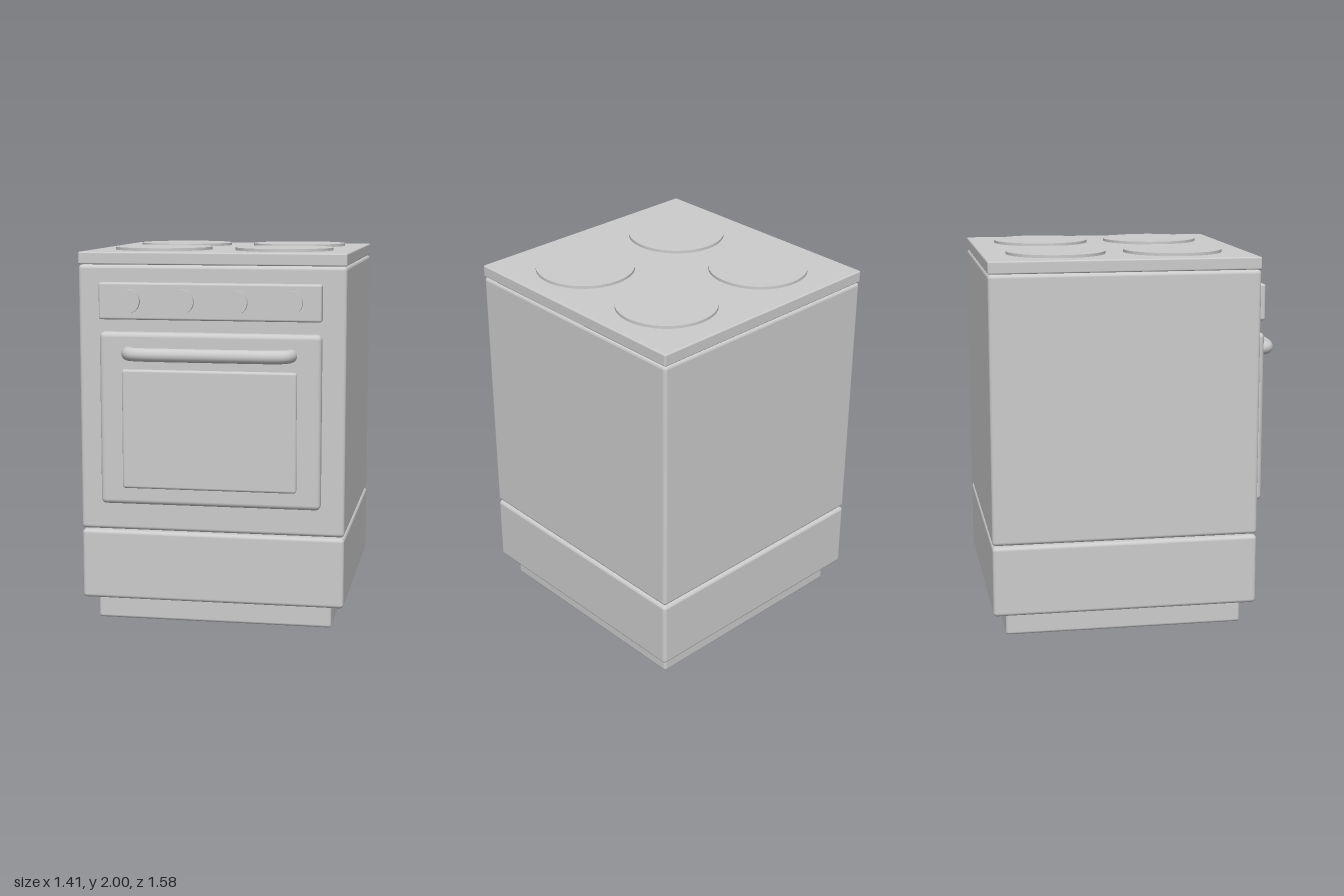
import * as THREE from 'three';
import { RoundedBoxGeometry } from 'three/addons/geometries/RoundedBoxGeometry.js';

export function createModel() {
  const model = new THREE.Group();
  model.name = 'stove';
  const material = new THREE.MeshStandardMaterial({ color: 0xcccccc });

  const add = (name, geometry, x = 0, y = 0, z = 0) => {
    const mesh = new THREE.Mesh(geometry, material);
    mesh.name = name;
    mesh.position.set(x, y, z);
    model.add(mesh);
    return mesh;
  };

  // Rounded box centred on x, given its half width and its y and z ranges
  const box = (name, halfWidth, y0, y1, z0, z1, radius) =>
    add(name, new RoundedBoxGeometry(halfWidth * 2, y1 - y0, z1 - z0, 4, radius),
      0, (y0 + y1) / 2, (z0 + z1) / 2);

  // Cabinet, stacked from the floor up
  box('plinth', 0.635, 0, 0.125, -0.72, 0.55, 0.016);
  box('drawerSection', 0.705, 0.127, 0.502, -0.79, 0.62, 0.02);
  box('ovenBody', 0.705, 0.51, 1.918, -0.79, 0.62, 0.02);
  box('cooktop', 0.705, 1.92, 1.985, -0.79, 0.62, 0.008);

  // Front panels
  box('controlPanel', 0.583, 1.638, 1.83, 0.54, 0.675, 0.012);
  box('ovenDoor', 0.583, 0.66, 1.572, 0.54, 0.675, 0.026);
  box('doorWindow', 0.46, 0.75, 1.38, 0.6, 0.693, 0.014);

  // Four hotplates
  for (const x of [-0.33, 0.33]) {
    for (const z of [-0.4, 0.225]) {
      add('hotplate', new THREE.CylinderGeometry(0.262, 0.262, 0.03, 64), x, 1.985, z);
    }
  }

  // Row of control knobs
  for (const x of [-0.424, -0.14, 0.14, 0.424]) {
    const knob = add('knob', new THREE.CylinderGeometry(0.063, 0.063, 0.06, 40), x, 1.735, 0.667);
    knob.rotation.x = Math.PI / 2;
  }

  // Bowed door handle whose ends run into the door
  const half = [[0.424, 0.65], [0.424, 0.69], [0.405, 0.728], [0.34, 0.749], [0.2, 0.754]];
  const points = [
    ...half.map(([x, z]) => new THREE.Vector3(-x, 1.465, z)),
    new THREE.Vector3(0, 1.465, 0.755),
    ...half.map(([x, z]) => new THREE.Vector3(x, 1.465, z)).reverse(),
  ];
  add('doorHandle', new THREE.TubeGeometry(new THREE.CatmullRomCurve3(points), 80, 0.035, 20));

  return model;
}
